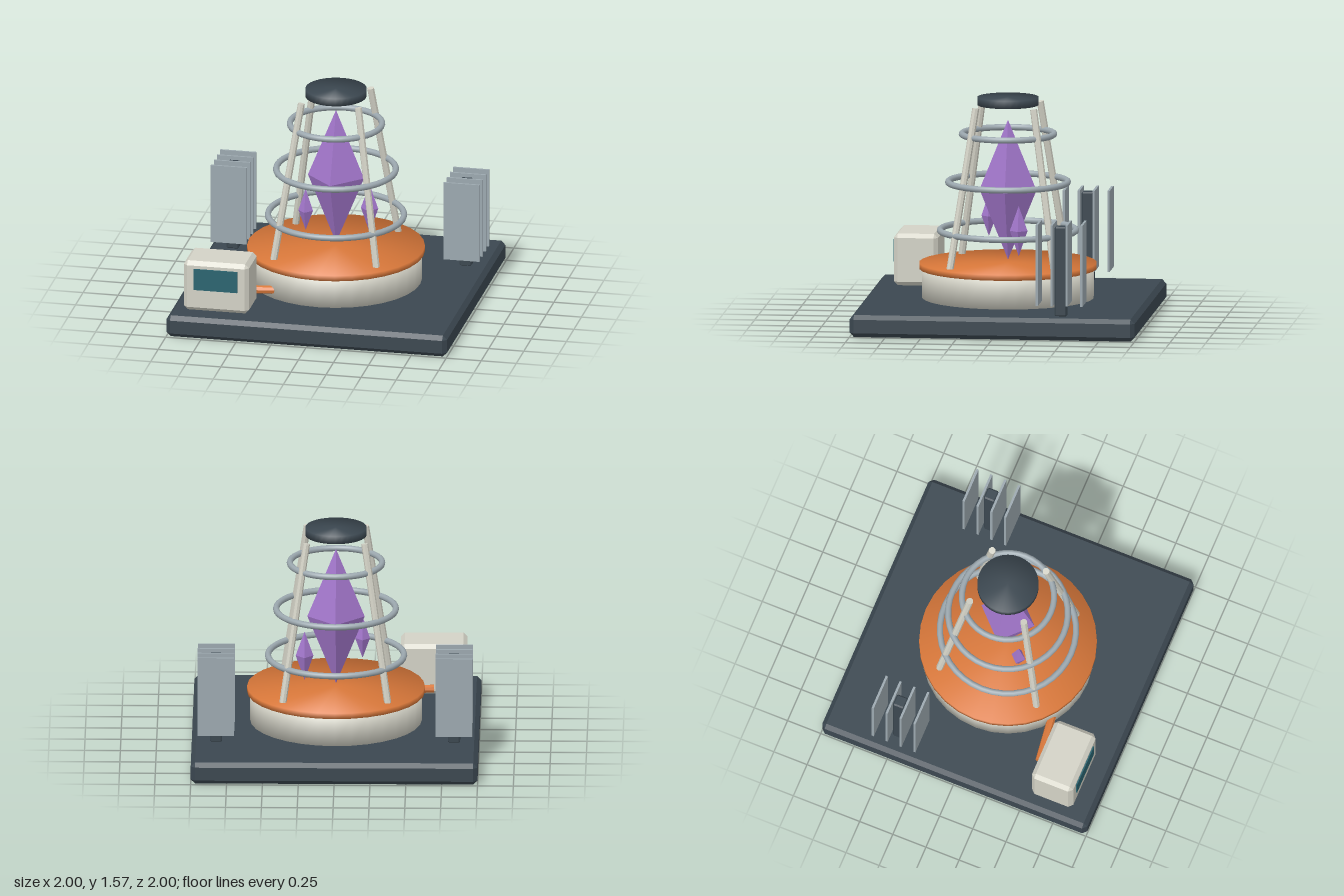
import * as THREE from 'three';
import { ConvexGeometry } from 'three/addons/geometries/ConvexGeometry.js';

const mat = (name, color, extra = {}) => {
  const m = new THREE.MeshStandardMaterial({ color, ...extra });
  m.name = name;
  return m;
};

// Box with every edge cut by c: each corner becomes three points.
function chamferBox(w, h, d, c) {
  const pts = [];
  for (const x of [-1, 1]) for (const y of [-1, 1]) for (const z of [-1, 1]) {
    const p = [x * w / 2, y * h / 2, z * d / 2];
    pts.push(new THREE.Vector3(p[0], p[1] - y * c, p[2] - z * c));
    pts.push(new THREE.Vector3(p[0] - x * c, p[1], p[2] - z * c));
    pts.push(new THREE.Vector3(p[0] - x * c, p[1] - y * c, p[2]));
  }
  return new ConvexGeometry(pts);
}

// Disc whose normals run smoothly over the rim.
function smoothDisc(r, h) {
  const g = new THREE.CylinderGeometry(r, r, h, 32);
  const p = g.attributes.position, n = g.attributes.normal;
  const k = Math.SQRT1_2;
  for (let i = 0; i < p.count; i++) {
    n.setXYZ(i, k * p.getX(i) / r, k * Math.sign(p.getY(i)), k * p.getZ(i) / r);
  }
  return g;
}

// Four-sided double pyramid from y0 to y1, widest at mid.
function crystalShape(r, y0, mid, y1) {
  const pts = [[0, y0, 0], [0, y1, 0], [r, mid, 0], [-r, mid, 0], [0, mid, r], [0, mid, -r]];
  return new ConvexGeometry(pts.map(p => new THREE.Vector3(...p)));
}

export function createModel() {
  const model = new THREE.Group();
  model.name = 'crystalReactor';

  const slate = mat('darkSlate', 0x3b4750);
  const cream = mat('cream', 0xd3d2c6, {});
  const orange = mat('orange', 0xd9783a);
  const steel = mat('steel', 0x9ca8af);
  const purple = mat('purple', 0xa377cc);
  const teal = mat('tealGlass', 0x2a6470);
  const strut = mat('strutCream', 0xd3d2c6);
  strut.flatShading = true;
  const pipeOrange = mat('pipeOrange', 0xd9783a);
  pipeOrange.flatShading = true;

  const add = (name, geo, m, x = 0, y = 0, z = 0) => {
    const mesh = new THREE.Mesh(geo, m);
    mesh.name = name;
    mesh.position.set(x, y, z);
    model.add(mesh);
    return mesh;
  };

  // Eight-sided rod between two points
  const rod = (name, a, b, r, m) => {
    const from = new THREE.Vector3(...a), to = new THREE.Vector3(...b);
    const dir = to.clone().sub(from);
    const mesh = add(name, new THREE.CylinderGeometry(r, r, dir.length(), 8), m);
    mesh.position.copy(from).add(to).multiplyScalar(0.5);
    mesh.quaternion.setFromUnitVectors(new THREE.Vector3(0, 1, 0), dir.normalize());
  };

  // Base, pedestal and its plate
  add('base', chamferBox(2, 0.155, 2, 0.03), slate, 0, 0.0775, 0);
  add('pedestal', smoothDisc(0.6, 0.21), cream, 0, 0.26, 0);
  add('pedestalPlate', smoothDisc(0.62, 0.04), orange, 0, 0.38, 0);

  // Cage: four leaning struts, three hoops and a cap
  for (const sx of [-1, 1]) for (const sz of [-1, 1]) {
    rod('strut', [sx * 0.367, 0.385, sz * 0.367], [sx * 0.203, 1.51, sz * 0.203], 0.025, strut);
  }
  for (const [r, y] of [[0.475, 0.627], [0.418, 0.967], [0.322, 1.305]]) {
    add('hoop', new THREE.TorusGeometry(r, 0.022, 10, 40).rotateX(Math.PI / 2), steel, 0, y, 0);
  }
  add('cap', smoothDisc(0.214, 0.055), slate, 0, 1.538, 0);

  // Floating crystals
  add('mainCrystal', crystalShape(0.2, 0.42, 0.91, 1.405), purple);
  add('smallCrystal', crystalShape(0.052, 0.555, 0.7, 0.86), purple, -0.183, 0, 0.155);
  add('smallCrystal', crystalShape(0.062, 0.475, 0.655, 0.83), purple, 0.218, 0, -0.1);

  // Control console with screen and feed pipe
  add('console', chamferBox(0.465, 0.365, 0.31, 0.028), cream, -0.675, 0.3375, 0.7);
  add('screen', new THREE.BoxGeometry(0.31, 0.155, 0.009), teal, -0.675, 0.392, 0.859);
  rod('feedPipe', [-0.675, 0.212, 0.515], [-0.3, 0.212, 0.467], 0.029, pipeOrange);

  // Cooling fins on a post at each side
  for (const s of [-1, 1]) {
    add('finPost', chamferBox(0.085, 0.635, 0.085, 0.01), slate, s * 0.83, 0.4675, -0.468);
    for (let i = 0; i < 4; i++) {
      add('fin', new THREE.BoxGeometry(0.257, 0.57, 0.016), steel, s * 0.83, 0.523, -0.311 - i * 0.1045);
    }
  }
  return model;
}
